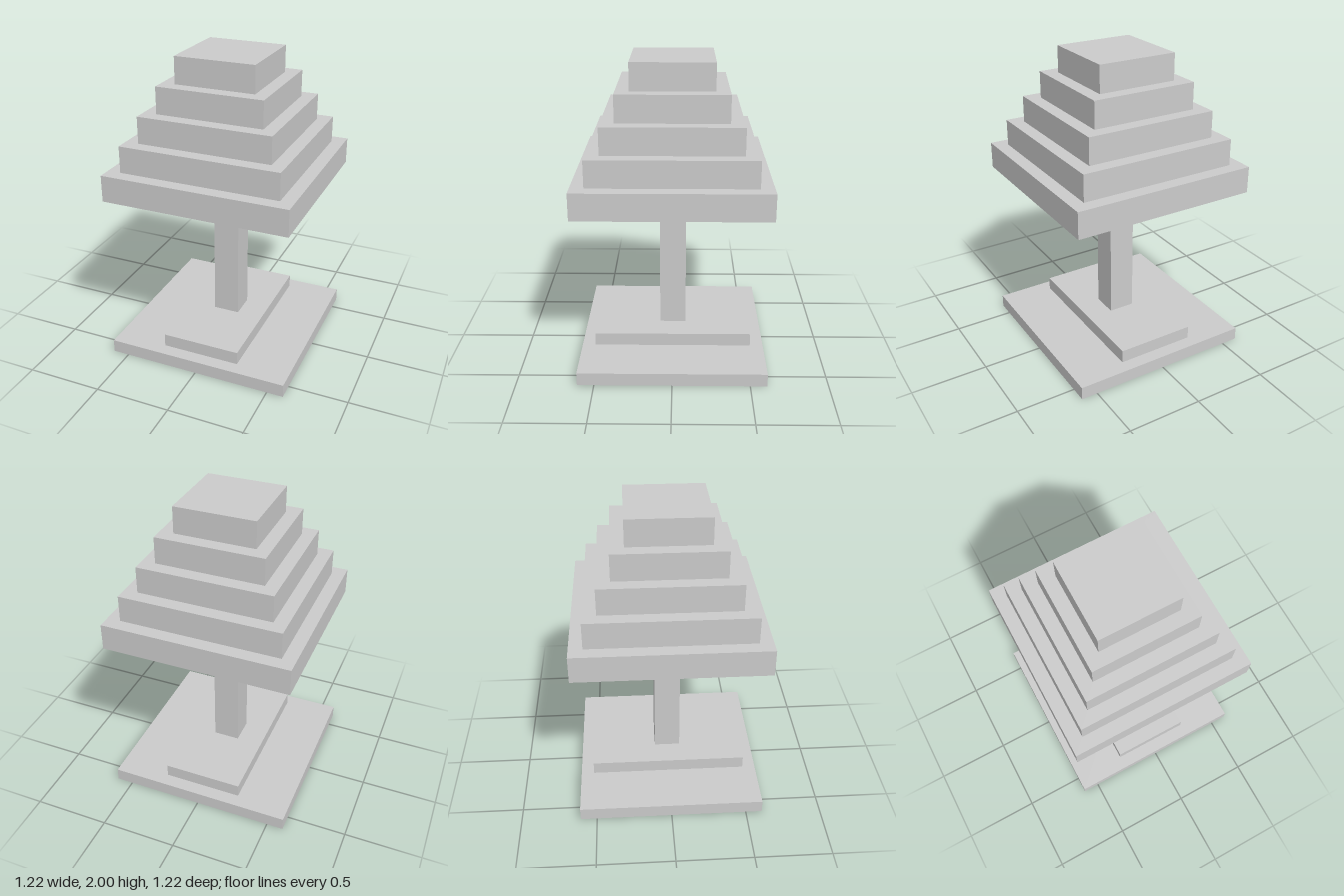
import * as THREE from 'three';

// Everything sits on a grid of 23 units over the full height of 2
const U = 2 / 23;

export function createModel() {
  const model = new THREE.Group();
  model.name = 'tableLamp';
  const material = new THREE.MeshStandardMaterial({ color: 0xcccccc, flatShading: true });

  // Block centred on the axis, standing at height y (all in grid units)
  function block(name, width, height, depth, y, parent = model) {
    const mesh = new THREE.Mesh(new THREE.BoxGeometry(width * U, height * U, depth * U), material);
    mesh.position.y = (y + height / 2) * U;
    mesh.name = name;
    parent.add(mesh);
  }

  // Foot: square plate with a narrower step running front to back
  block('basePlate', 14, 1, 14, 0);
  block('baseStep', 6, 1, 12, 1);

  // Post
  block('post', 2, 11, 2, 2);

  // Stepped shade, each tier narrower than the one below
  const shade = new THREE.Group();
  shade.name = 'shade';
  model.add(shade);
  for (let i = 0; i < 5; i++) {
    const width = 14 - 2 * i;
    block(`shadeTier${i + 1}`, width, 2, width, 13 + 2 * i, shade);
  }

  return model;
}
